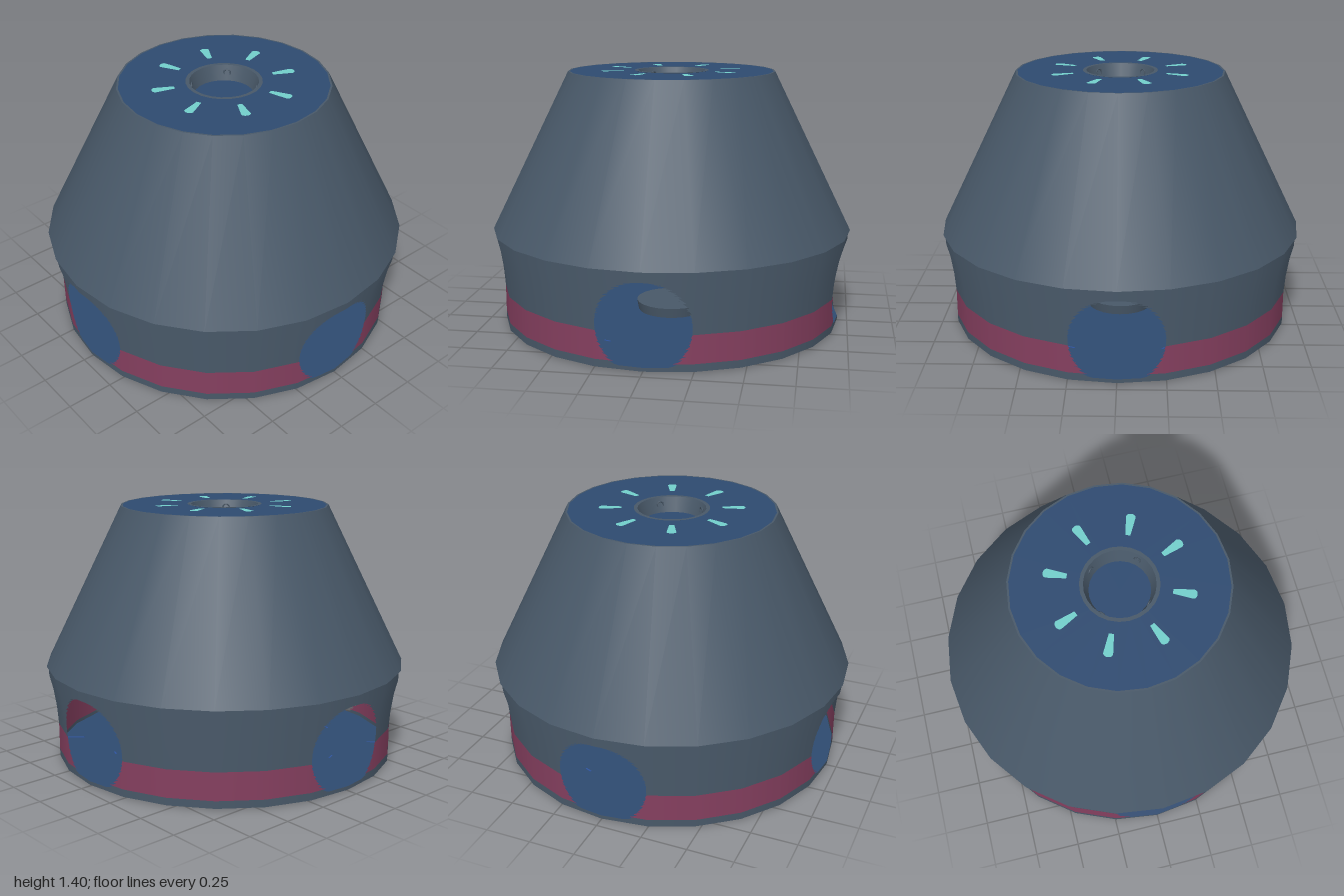
import * as THREE from 'three';

const SIDES = 24;
const rad = THREE.MathUtils.degToRad;

const makeMaterial = (name, color) => {
  const m = new THREE.MeshStandardMaterial({ color, side: THREE.DoubleSide });
  m.name = name;
  return m;
};

// Outline of the lower wall: radius at a given height
const WALL = [[0, 0.945], [0.2, 0.945], [0.3, 0.953], [0.4, 0.968], [0.48, 0.988], [0.53, 0.99]];
function wallRadius(y) {
  for (let i = 1; i < WALL.length; i++) {
    const [y0, r0] = WALL[i - 1], [y1, r1] = WALL[i];
    if (y <= y1) return r0 + (r1 - r0) * (y - y0) / (y1 - y0);
  }
  return 0.99;
}

// Angles around the wall, denser across the four round openings
function wallAngles() {
  const list = [];
  for (let q = 0; q < 4; q++) {
    for (let i = 0; i <= 24; i++) list.push(q * 90 - 15 * Math.cos(Math.PI * i / 24));
    for (const a of [30, 45, 60]) list.push(q * 90 + a);
  }
  list.push(345);
  return list;
}

// Strip of wall between two heights, with the openings left out
function wallBand(yLow, yHigh, rows) {
  const angles = wallAngles(), pos = [], norm = [];
  const opening = (deg) => {
    const local = ((deg + 45 + 360) % 90) - 45;
    const x = 0.245 * Math.sin(rad(local)) / Math.sin(rad(15));
    const h = Math.sqrt(Math.max(0, 0.245 ** 2 - x * x));
    return [Math.max(0.03, 0.23 - h), 0.23 + h];
  };
  const put = (deg, y) => {
    const a = rad(deg), f = ((deg % 15) + 15) % 15 - 7.5;
    const r = wallRadius(y) * Math.cos(rad(7.5)) / Math.cos(rad(f));
    pos.push(r * Math.sin(a), y, r * Math.cos(a));
    norm.push(Math.sin(a), 0, Math.cos(a));
  };
  const quad = (a, b, a0, a1, b0, b1) => {
    if (a1 - a0 < 1e-5 && b1 - b0 < 1e-5) return;
    put(a, a0); put(b, b0); put(b, b1);
    put(a, a0); put(b, b1); put(a, a1);
  };
  for (let i = 0; i < angles.length - 1; i++) {
    const a = angles[i], b = angles[i + 1];
    const [botA, topA] = opening(a), [botB, topB] = opening(b);
    for (let j = 0; j < rows; j++) {
      const lo = yLow + (yHigh - yLow) * j / rows;
      const hi = yLow + (yHigh - yLow) * (j + 1) / rows;
      const c = (y) => Math.min(hi, Math.max(lo, y));
      quad(a, b, lo, c(botA), lo, c(botB));
      quad(a, b, c(topA), hi, c(topB), hi);
    }
  }
  const g = new THREE.BufferGeometry();
  g.setAttribute('position', new THREE.Float32BufferAttribute(pos, 3));
  g.setAttribute('normal', new THREE.Float32BufferAttribute(norm, 3));
  return g;
}

export function createModel() {
  const model = new THREE.Group();
  const grey = makeMaterial('slate grey', 0x485868);
  const blue = makeMaterial('deep blue', 0x2e4a70);
  const pink = makeMaterial('plum pink', 0x853f5f);
  const teal = makeMaterial('pale teal', 0x72cfcb);
  const darkTeal = makeMaterial('dark teal', 0x2a6f7c);
  const bright = makeMaterial('line blue', 0x2f55a0);

  const add = (name, geometry, material, y = 0) => {
    const mesh = new THREE.Mesh(geometry, material);
    mesh.name = name;
    mesh.position.y = y;
    model.add(mesh);
    return mesh;
  };
  // Open cone or tube between two heights
  const tube = (name, r0, y0, r1, y1, material) =>
    add(name, new THREE.CylinderGeometry(r1, r0, y1 - y0, SIDES, 1, true), material, (y0 + y1) / 2);
  // Flat ring or disc facing up or down
  const disc = (name, inner, outer, y, material, up = true) => {
    const g = inner > 0 ? new THREE.RingGeometry(inner, outer, SIDES) : new THREE.CircleGeometry(outer, SIDES);
    return add(name, g.rotateX(up ? -Math.PI / 2 : Math.PI / 2), material, y);
  };
  const plate = (name, w, h, d, angle, r, y, material) => {
    const mesh = add(name, new THREE.BoxGeometry(w, h, d), material, y);
    mesh.position.set(r * Math.sin(angle), y, r * Math.cos(angle));
    mesh.rotation.y = angle;
    return mesh;
  };

  // Hollow lower wall with a painted stripe
  add('baseRim', wallBand(0.01, 0.05, 3), grey);
  add('stripe', wallBand(0.05, 0.2, 8), pink);
  add('lowerWall', wallBand(0.2, 0.53, 24), grey);

  // Sloping upper shell and its rim
  disc('shellLip', 0.98, 1.0, 0.53, grey, false);
  tube('upperShell', 1.0, 0.53, 0.57, 1.4, grey);

  // Floor plate
  disc('floorTop', 0.19, 0.945, 0.03, blue);
  disc('floorUnderside', 0.19, 0.945, 0.01, blue, false);

  // Fine line marks on both faces of the floor
  for (const y of [0.031, 0.009]) {
    for (let i = 0; i < 4; i++) plate('floorLine', 0.01, 0.002, 0.1, rad(45 + 90 * i), 0.87, y, bright);
    for (let i = 0; i < 8; i++) plate('floorTick', 0.04, 0.002, 0.008, rad(22.5 + 45 * i), 0.65, y, bright);
  }

  // Lower socket: cup rising from the floor, open underneath
  tube('lowerCup', 0.19, 0.03, 0.2, 0.085, grey);
  disc('lowerCupTop', 0, 0.2, 0.085, grey);
  tube('lowerCupInside', 0.19, 0.004, 0.16, 0.075, grey);
  disc('lowerCupFloor', 0, 0.16, 0.075, blue, false);
  const pin = add('lowerCupPin', new THREE.ConeGeometry(0.05, 0.03, 12), teal, 0.06);
  pin.rotation.x = Math.PI;
  disc('socketRing', 0.19, 0.31, 0.004, grey, false);
  disc('socketEdge', 0.31, 0.34, 0.004, darkTeal, false);
  tube('socketRingSide', 0.34, 0.004, 0.34, 0.01, darkTeal);

  // Top plate with its central socket
  disc('topRim', 0.56, 0.57, 1.4, grey);
  disc('topPlate', 0.2, 0.56, 1.4, blue);
  disc('topSocketRim', 0.185, 0.205, 1.402, grey);
  tube('topSocketWall', 0.16, 1.32, 0.19, 1.402, grey);
  disc('topSocketFloor', 0, 0.16, 1.32, blue);
  for (let i = 0; i < 4; i++) {
    const a = rad(45 + 90 * i);
    const stud = add('socketStud', new THREE.TorusGeometry(0.018, 0.004, 6, 12), grey);
    stud.position.set(0.173 * Math.sin(a), 1.362, 0.173 * Math.cos(a));
    stud.rotation.y = a;
  }

  // Eight tapered marks around the socket
  const mark = new THREE.Shape();
  mark.moveTo(-0.013, 0.27);
  mark.lineTo(0.013, 0.27);
  mark.lineTo(0.025, 0.375);
  mark.quadraticCurveTo(0.022, 0.392, 0, 0.393);
  mark.quadraticCurveTo(-0.022, 0.392, -0.025, 0.375);
  const markGeometry = new THREE.ShapeGeometry(mark, 4).rotateX(-Math.PI / 2);
  for (let i = 0; i < 8; i++) add('topMark', markGeometry, teal, 1.403).rotation.y = rad(22.5 + 45 * i);

  return model;
}
